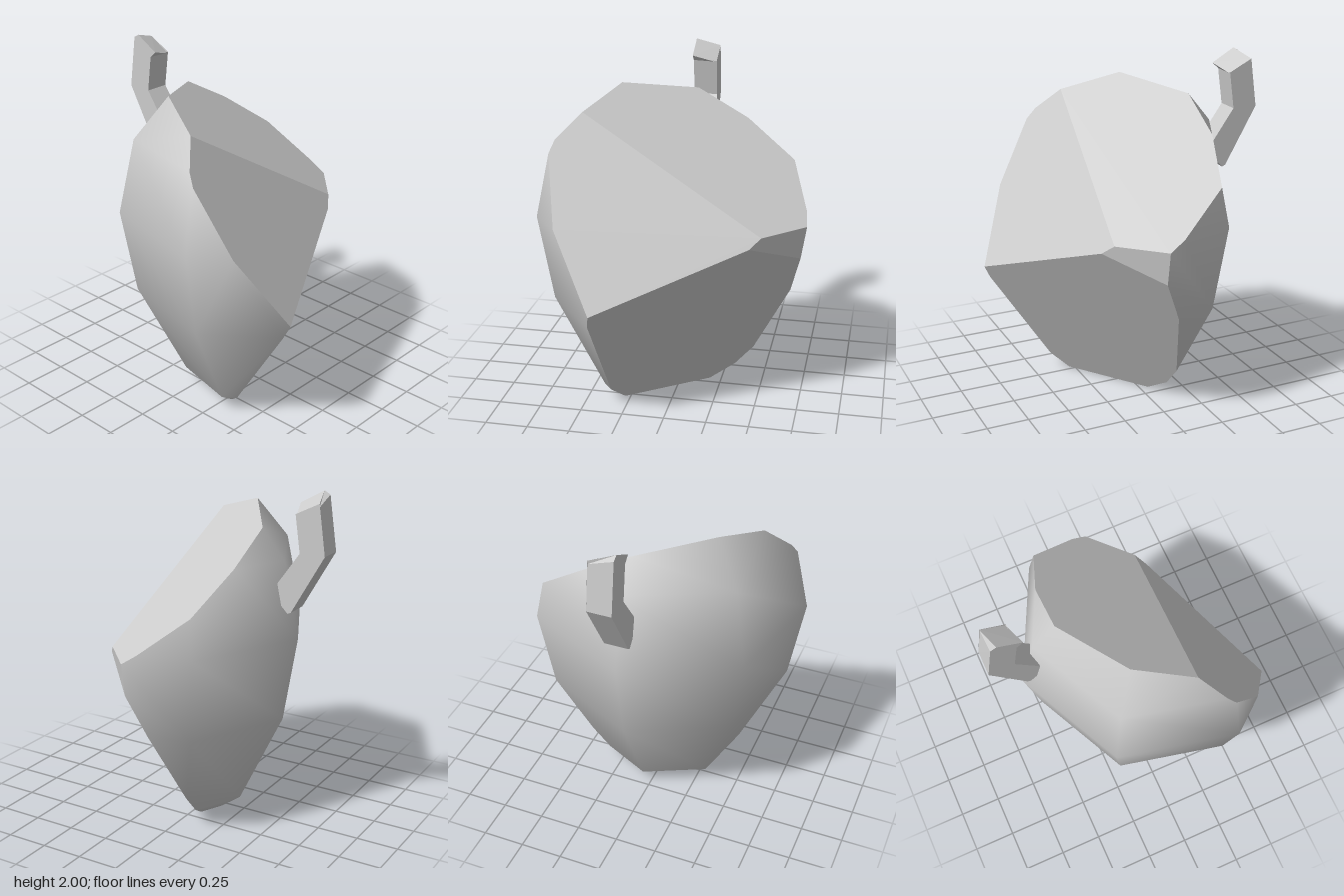
import * as THREE from 'three';

const V = (x, y, z) => new THREE.Vector3(x, y, z);
const SIDES = 7;
// [height, radius] of the seven-sided bulb before it is sliced
const PROFILE = [[0, 0.328], [0.09, 0.452], [0.66, 0.73], [1.16, 0.815], [1.6, 0.72], [2, 0.39]];
// Flat slices: outward normal and offset
const CUTS = [
  [V(0.2176, 0.368, -0.2004), 0.579],   // sloping top
  [V(0.938, 0.584, -0.251), 1.076],     // upper left side
  [V(0.628, -0.381, -0.453), 0.049],    // large lower left side
  [V(0.0437, -0.0065, -0.0418), 0.029], // small back corner
];

// Smooth-shaded wall quads plus a flat base; each corner holds position p and normal n
function bulbFaces() {
  const rings = PROFILE.map(([y, r], i) => {
    const [y0, r0] = PROFILE[Math.max(i - 1, 0)];
    const [y1, r1] = PROFILE[Math.min(i + 1, PROFILE.length - 1)];
    return Array.from({ length: SIDES }, (_, k) => {
      const a = Math.PI + (k / SIDES) * Math.PI * 2;
      const c = Math.cos(a), s = Math.sin(a);
      return {
        p: V(0.21 + r * c, y, -0.04 + r * s),
        n: V(c * (y1 - y0), r0 - r1, s * (y1 - y0)).normalize(),
      };
    });
  });
  const faces = [rings[0].map(({ p }) => ({ p, n: V(0, -1, 0) }))];
  for (let i = 0; i + 1 < rings.length; i++) {
    for (let k = 0; k < SIDES; k++) {
      const j = (k + 1) % SIDES;
      faces.push([rings[i][k], rings[i + 1][k], rings[i + 1][j], rings[i][j]]);
    }
  }
  return faces;
}

// Slice convex faces by a plane and close the opening with a flat cap
function slice(faces, [normal, offset]) {
  const result = [], rim = [];
  for (const face of faces) {
    const kept = [];
    face.forEach((a, i) => {
      const b = face[(i + 1) % face.length];
      const da = normal.dot(a.p) - offset, db = normal.dot(b.p) - offset;
      if (da <= 0) kept.push(a);
      if (da * db < 0) {
        const t = da / (da - db);
        const p = a.p.clone().lerp(b.p, t);
        kept.push({ p, n: a.n.clone().lerp(b.n, t).normalize() });
        rim.push(p);
      }
    });
    if (kept.length > 2) result.push(kept);
  }
  if (rim.length > 2) {
    const n = normal.clone().normalize();
    const centre = rim.reduce((sum, p) => sum.add(p), V(0, 0, 0)).divideScalar(rim.length);
    const u = V(0, 1, 0).cross(n).normalize(), w = n.clone().cross(u);
    const angle = (p) => {
      const d = p.clone().sub(centre);
      return Math.atan2(d.dot(w), d.dot(u));
    };
    rim.sort((a, b) => angle(a) - angle(b));
    // each rim corner is found twice, once per neighbouring face
    const corners = rim.filter((p, i) => i === 0 || p.distanceTo(rim[i - 1]) > 1e-5);
    result.push(corners.map((p) => ({ p, n })));
  }
  return result;
}

// Turn convex faces into triangles that face along their normals
function facesToGeometry(faces) {
  const pos = [], nor = [];
  for (const f of faces) {
    for (let i = 1; i + 1 < f.length; i++) {
      let tri = [f[0], f[i], f[i + 1]];
      const side = f[i].p.clone().sub(f[0].p).cross(f[i + 1].p.clone().sub(f[0].p));
      const out = f[0].n.clone().add(f[i].n).add(f[i + 1].n);
      if (side.dot(out) < 0) tri = [f[0], f[i + 1], f[i]];
      for (const { p, n } of tri) {
        pos.push(p.x, p.y, p.z);
        nor.push(n.x, n.y, n.z);
      }
    }
  }
  const g = new THREE.BufferGeometry();
  g.setAttribute('position', new THREE.Float32BufferAttribute(pos, 3));
  g.setAttribute('normal', new THREE.Float32BufferAttribute(nor, 3));
  return g;
}

// Bent stem with its tip sloping down toward the back
function stemGeometry() {
  const outline = [
    [-0.705, 2], [-0.74, 1.98], [-0.785, 1.67], [-0.59, 1.33], [-0.57, 1.32],
    [-0.53, 1.36], [-0.503, 1.485], [-0.635, 1.67], [-0.605, 1.885], [-0.565, 1.92],
  ].map(([x, y]) => new THREE.Vector2(x, y));
  const g = new THREE.ExtrudeGeometry(new THREE.Shape(outline), { depth: 0.143, bevelEnabled: false });
  g.translate(0, 0, -0.108);
  const p = g.attributes.position;
  for (let i = 0; i < p.count; i++) {
    if (p.getZ(i) < 0 && p.getY(i) > 1.9) {
      p.setX(i, Math.max(p.getX(i) - 0.045, -0.745));
      p.setY(i, p.getY(i) - 0.045);
    }
  }
  g.computeVertexNormals();
  return g;
}

export function createModel() {
  const grey = new THREE.MeshStandardMaterial({ color: 0xcccccc });
  grey.name = 'lightGrey';
  const body = new THREE.Mesh(facesToGeometry(CUTS.reduce(slice, bulbFaces())), grey);
  body.name = 'slicedBody';
  const stem = new THREE.Mesh(stemGeometry(), grey);
  stem.name = 'bentStem';
  const model = new THREE.Group();
  model.name = 'slicedFruit';
  model.add(body, stem);
  return model;
}
